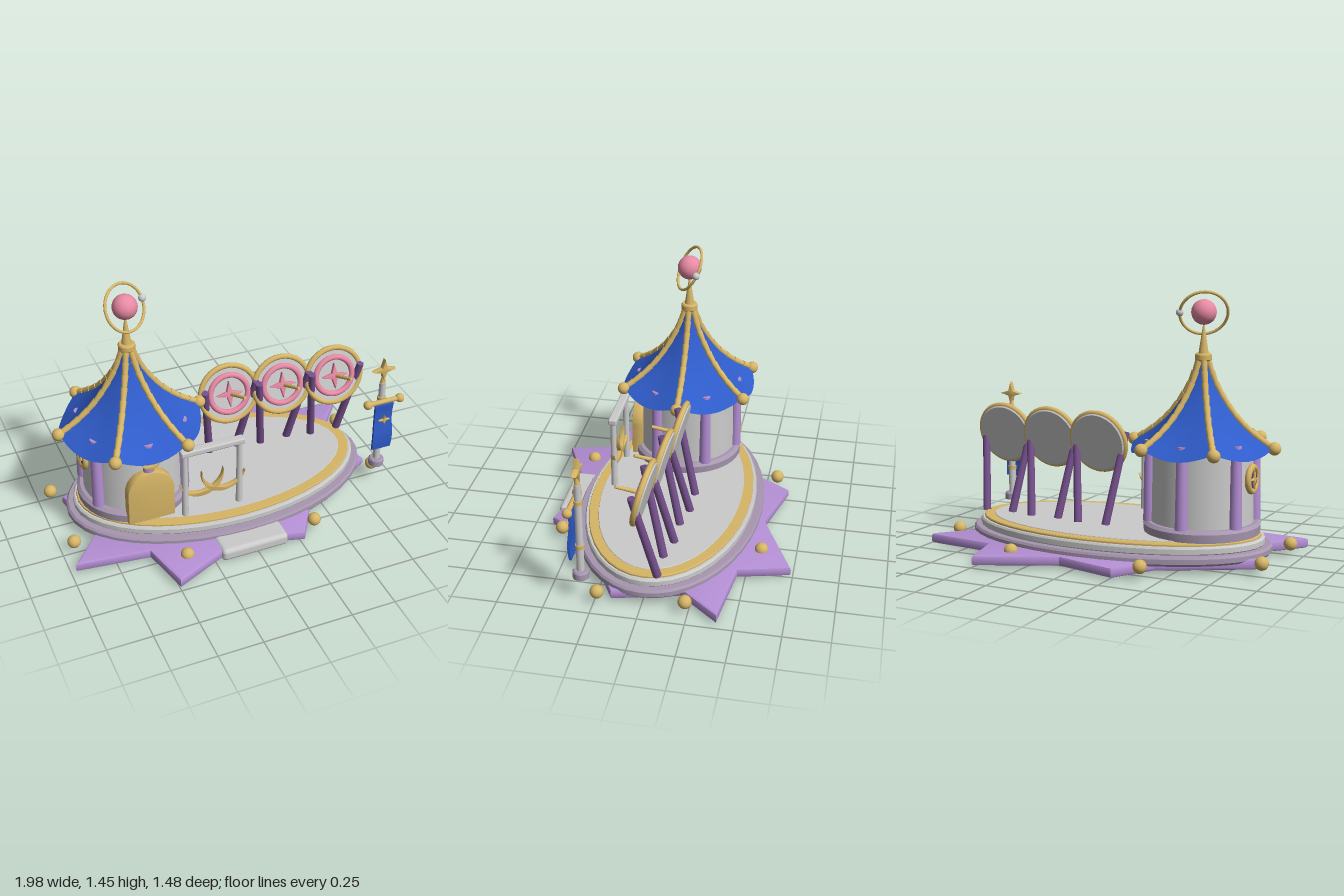
import * as THREE from 'three';
import { RoundedBoxGeometry } from 'three/addons/geometries/RoundedBoxGeometry.js';
import { ParametricGeometry } from 'three/addons/geometries/ParametricGeometry.js';
import { toCreasedNormals } from 'three/addons/utils/BufferGeometryUtils.js';

const mat = (color) => new THREE.MeshStandardMaterial({ color, side: THREE.DoubleSide });
const grey = mat(0xcccccc), gold = mat(0xd6b566), blue = mat(0x2f5cca), pink = mat(0xe88aa5);
const purple = mat(0xb48fd4), dark = mat(0x5e3872), mauve = mat(0xa797b0), legMat = mat(0x75508c);
const V2 = (x, y) => new THREE.Vector2(x, y);
const V3 = (x, y, z) => new THREE.Vector3(x, y, z);

function add(parent, name, geo, material, x = 0, y = 0, z = 0) {
  const m = new THREE.Mesh(geo, material);
  m.name = name;
  m.position.set(x, y, z);
  parent.add(m);
  return m;
}
const ball = (r) => new THREE.SphereGeometry(r, 20, 14);
const cyl = (r0, r1, h, n = 20) => new THREE.CylinderGeometry(r0, r1, h, n);

// Cylinder between two points
function rod(parent, name, a, b, r, material, r2 = r) {
  const d = b.clone().sub(a);
  const m = add(parent, name, cyl(r2, r, d.length(), 14), material);
  m.position.copy(a).addScaledVector(d, 0.5);
  m.quaternion.setFromUnitVectors(V3(0, 1, 0), d.normalize());
  return m;
}

function slab(points, depth, bevel = 0.005) {
  const shape = points instanceof THREE.Shape ? points : new THREE.Shape(points);
  return toCreasedNormals(new THREE.ExtrudeGeometry(shape, {
    depth: depth - 2 * bevel, bevelThickness: bevel, bevelSize: bevel, bevelOffset: -bevel, bevelSegments: 2, curveSegments: 20,
  }).translate(0, 0, bevel), 0.6);
}

// Four-pointed star in the xy plane
function star(r, inner, depth) {
  const pts = [];
  for (let i = 0; i < 8; i++) {
    const k = i % 2 ? inner : r, a = i * Math.PI / 4;
    pts.push(V2(k * Math.cos(a), k * Math.sin(a)));
  }
  return slab(pts, depth, 0.004).translate(0, 0, -depth / 2);
}

// Crescent opening upwards, centred on its outer circle
function crescent(r, thick, depth) {
  const pts = [], n = 20;
  for (let i = 0; i <= n; i++) {
    const a = Math.PI * (1 + i / n);
    pts.push(V2(r * Math.cos(a), r * Math.sin(a)));
  }
  for (let i = n - 1; i > 0; i--) {
    const a = Math.PI * (1 + i / n), k = r + thick * Math.sin(a);
    pts.push(V2(k * Math.cos(a), k * Math.sin(a)));
  }
  return slab(pts, depth, 0.001).translate(0, 0, -depth / 2);
}

// Arched outline standing on y = 0
function arch(w, h) {
  const s = new THREE.Shape();
  s.moveTo(-w, 0);
  s.lineTo(w, 0);
  s.lineTo(w, h - w);
  s.absarc(0, h - w, w, 0, Math.PI, false);
  return s;
}

function buildBase(root) {
  const g = new THREE.Group();
  g.name = 'base';
  // Star-shaped ground plate, second half is the first turned by 180 degrees
  const half = [[0.975, 0.41], [0.57, 0.46], [0.5, 0.74], [0.08, 0.55], [-0.27, 0.645], [-0.41, 0.42], [-0.88, 0.165], [-0.79, -0.19]];
  const pts = [...half, ...half.map(([x, y]) => [-x, -y])].map(([x, y]) => V2(x, y));
  add(g, 'starPlate', slab(pts, 0.055, 0.015).rotateX(-Math.PI / 2), purple, 0, 0.01);
  // Oval tiers with softened edges
  const tier = (name, rx, rz, y0, y1, b, m) => {
    const h = y1 - y0, k = b / rx;
    const geo = new THREE.LatheGeometry([V2(0, 0), V2(1 - k, 0), V2(1, b), V2(1, h - b), V2(1 - k, h), V2(0, h)], 40);
    add(g, name, toCreasedNormals(geo, 0.6), m, 0, y0).scale.set(rx, 1, rz);
  };
  tier('lowerTier', 0.89, 0.52, 0.045, 0.095, 0.012, mauve);
  tier('upperTier', 0.85, 0.475, 0.09, 0.137, 0.01, grey);
  tier('goldBorder', 0.83, 0.455, 0.13, 0.15, 0.005, gold);
  tier('floor', 0.77, 0.4, 0.13, 0.154, 0.003, grey);
  add(g, 'step', new RoundedBoxGeometry(0.39, 0.075, 0.17, 3, 0.025), grey, -0.018, 0.0375, 0.55);
  for (let i = 0; i < 8; i++) {
    const a = (i + 0.5) * Math.PI / 4;
    add(g, 'groundBall', ball(0.037), gold, -0.015 + 0.99 * Math.cos(a), 0.068, 0.61 * Math.sin(a));
  }
  root.add(g);
}

function buildTower(root) {
  const g = new THREE.Group();
  g.name = 'tower';
  g.position.x = -0.503;
  const foot = [V2(0, 0.15), V2(0.315, 0.15), V2(0.318, 0.195), V2(0.3, 0.212), V2(0, 0.212)];
  add(g, 'towerFoot', toCreasedNormals(new THREE.LatheGeometry(foot, 32), 0.6), mauve);
  add(g, 'wall', cyl(0.272, 0.28, 0.46, 32), grey, 0, 0.43);
  for (let i = 0; i < 6; i++) {
    const a = (i + 0.5) * Math.PI / 3;
    add(g, 'column', cyl(0.028, 0.035, 0.44, 14), purple, 0.285 * Math.cos(a), 0.43, 0.285 * Math.sin(a));
  }
  // Arched door with frame and moon
  const frame = arch(0.133, 0.32);
  frame.holes.push(arch(0.1, 0.287));
  add(g, 'doorFrame', slab(frame, 0.06), gold, 0, 0.155, 0.26);
  add(g, 'door', slab(arch(0.104, 0.29), 0.04), dark, 0, 0.155, 0.265);
  add(g, 'doorMoon', crescent(0.055, 0.02, 0.02), gold, 0, 0.565, 0.325);
  // Round window on the outer side
  const w = new THREE.Group();
  w.name = 'window';
  w.position.set(-0.285, 0.455, 0);
  w.rotation.y = -Math.PI / 2;
  add(w, 'windowRing', new THREE.TorusGeometry(0.065, 0.017, 10, 28), gold);
  add(w, 'windowPane', cyl(0.062, 0.062, 0.015, 24).rotateX(Math.PI / 2), dark);
  add(w, 'windowStar', star(0.055, 0.013, 0.016), gold, 0, 0, 0.01);
  g.add(w);

  // Six-panel roof sagging between its ribs
  const rib = new THREE.CatmullRomCurve3([V3(0.025, 1.08, 0), V3(0.075, 0.95, 0), V3(0.18, 0.795, 0), V3(0.29, 0.695, 0), V3(0.4, 0.628, 0)]);
  const p = V3(0, 0, 0);
  const roof = new ParametricGeometry((u, v, out) => {
    const a = u * Math.PI * 2, s = Math.abs(Math.sin(3 * a));
    rib.getPoint(v, p);
    const r = p.x * (1 - 0.04 * s * v);
    out.set(r * Math.cos(a), p.y - 0.045 * s * v, r * Math.sin(a));
  }, 60, 16);
  add(g, 'roof', toCreasedNormals(roof, 0.5), blue);
  const segments = 9;
  for (let i = 0; i < 6; i++) {
    const r = new THREE.Group();
    r.name = 'roofRib';
    r.rotation.y = i * Math.PI / 3;
    for (let k = 0; k < segments; k++) {
      rod(r, 'ribSegment', rib.getPointAt(k / segments), rib.getPointAt((k + 1) / segments), 0.019, gold, 0.015);
    }
    add(r, 'ribBall', ball(0.035), gold, 0.405, 0.626);
    g.add(r);
  }
  // Finial: collar, spike, globe, tilted orbit and its little moon
  add(g, 'collar', toCreasedNormals(new THREE.LatheGeometry([V2(0, 0), V2(0.04, 0), V2(0.046, 0.008), V2(0.046, 0.034), V2(0.04, 0.042), V2(0, 0.042)], 24), 0.6), gold, 0, 1.07);
  add(g, 'spike', cyl(0.004, 0.028, 0.16), gold, 0, 1.185);
  add(g, 'globe', ball(0.068), pink, 0, 1.33);
  const orbit = add(g, 'orbit', new THREE.TorusGeometry(0.128, 0.008, 10, 48), gold, 0, 1.325);
  orbit.quaternion.setFromUnitVectors(V3(0, 0, 1), V3(0.4, 0.45, 0.79).normalize());
  add(g, 'orbitMoon', ball(0.021), grey, 0.115, 1.328, -0.056);
  root.add(g);
}

function buildDials(root) {
  const profile = [V2(0, -0.018), V2(0.16, -0.018), V2(0.168, -0.01), V2(0.168, 0.01), V2(0, 0.01)];
  for (let i = 0; i < 3; i++) {
    const x = 0.1 + 0.315 * i, z = -0.05 + 0.03 * i;
    const g = new THREE.Group();
    g.name = 'dialStand';
    g.position.set(x, 0, z);
    const d = new THREE.Group();
    d.name = 'dial';
    d.position.y = 0.6;
    d.rotation.set(-0.23, -0.05, 0);
    add(d, 'dialDisc', toCreasedNormals(new THREE.LatheGeometry(profile, 40).rotateX(Math.PI / 2), 0.6), grey);
    add(d, 'dialRim', new THREE.TorusGeometry(0.167, 0.016, 10, 40), gold, 0, 0, 0.004);
    add(d, 'dialRing', new THREE.TorusGeometry(0.112, 0.017, 10, 36), pink, 0, 0, 0.012);
    add(d, 'dialStar', star(0.078, 0.024, 0.03), pink, 0, 0, 0.016);
    g.add(d);
    rod(g, 'pointer', V3(0.005, 0.6, 0.01), V3(0.042, 0.645, 0.142), 0.012, gold, 0.009);
    for (const s of [-1, 1]) {
      rod(g, 'dialLeg', V3(0.085 * s, 0.152, -0.083), V3(0.155 * s, 0.66, 0.035), 0.023, legMat, 0.02);
    }
    root.add(g);
  }
}

function buildSwing(root) {
  const g = new THREE.Group();
  g.name = 'swingFrame';
  g.position.set(-0.16, 0, 0.345);
  add(g, 'topBar', new RoundedBoxGeometry(0.37, 0.036, 0.05, 2, 0.01), grey, 0, 0.573);
  for (const s of [-1, 1]) {
    add(g, 'post', cyl(0.016, 0.019, 0.42, 14), grey, 0.16 * s, 0.36);
    add(g, 'hangingMoon', crescent(0.13, 0.028, 0.024), gold, 0.065 * s, 0.392).rotation.z = -0.22 * s;
  }
  root.add(g);
}

function buildBanner(root) {
  const g = new THREE.Group();
  g.name = 'bannerPole';
  g.position.set(0.877, 0, 0.32);
  add(g, 'poleFoot', toCreasedNormals(new THREE.LatheGeometry([V2(0, 0), V2(0.044, 0), V2(0.044, 0.035), V2(0.036, 0.045), V2(0, 0.045)], 20), 0.6), mauve, 0, 0.137);
  add(g, 'pole', cyl(0.019, 0.021, 0.55, 16), grey, 0, 0.43);
  for (const y of [0.33, 0.6]) add(g, 'poleRing', cyl(0.025, 0.025, 0.022), gold, 0, y);
  add(g, 'poleTop', cyl(0.008, 0.018, 0.05), gold, 0, 0.72);
  add(g, 'poleStar', star(0.07, 0.022, 0.03), gold, 0, 0.787);
  rod(g, 'crossbar', V3(-0.1, 0.592, 0.03), V3(0.1, 0.592, 0.03), 0.014, gold);
  for (const s of [-1, 1]) add(g, 'crossbarBall', ball(0.026), gold, 0.1 * s, 0.592, 0.03);
  // Cloth with a gentle wave
  const cloth = new THREE.BoxGeometry(0.12, 0.3, 0.014, 1, 12, 1);
  const pos = cloth.attributes.position;
  for (let i = 0; i < pos.count; i++) {
    const wave = Math.sin((pos.getY(i) + 0.15) * 21);
    pos.setZ(i, pos.getZ(i) + 0.006 * wave);
    pos.setX(i, pos.getX(i) * (0.96 + 0.05 * wave));
  }
  add(g, 'banner', toCreasedNormals(cloth, 0.8), blue, 0, 0.425, 0.037);
  add(g, 'bannerStar', star(0.035, 0.011, 0.016), gold, 0, 0.48, 0.05);
  root.add(g);
}

export function createModel() {
  const root = new THREE.Group();
  root.name = 'observatoryPavilion';
  [buildBase, buildTower, buildDials, buildSwing, buildBanner].forEach((build) => build(root));
  return root;
}
